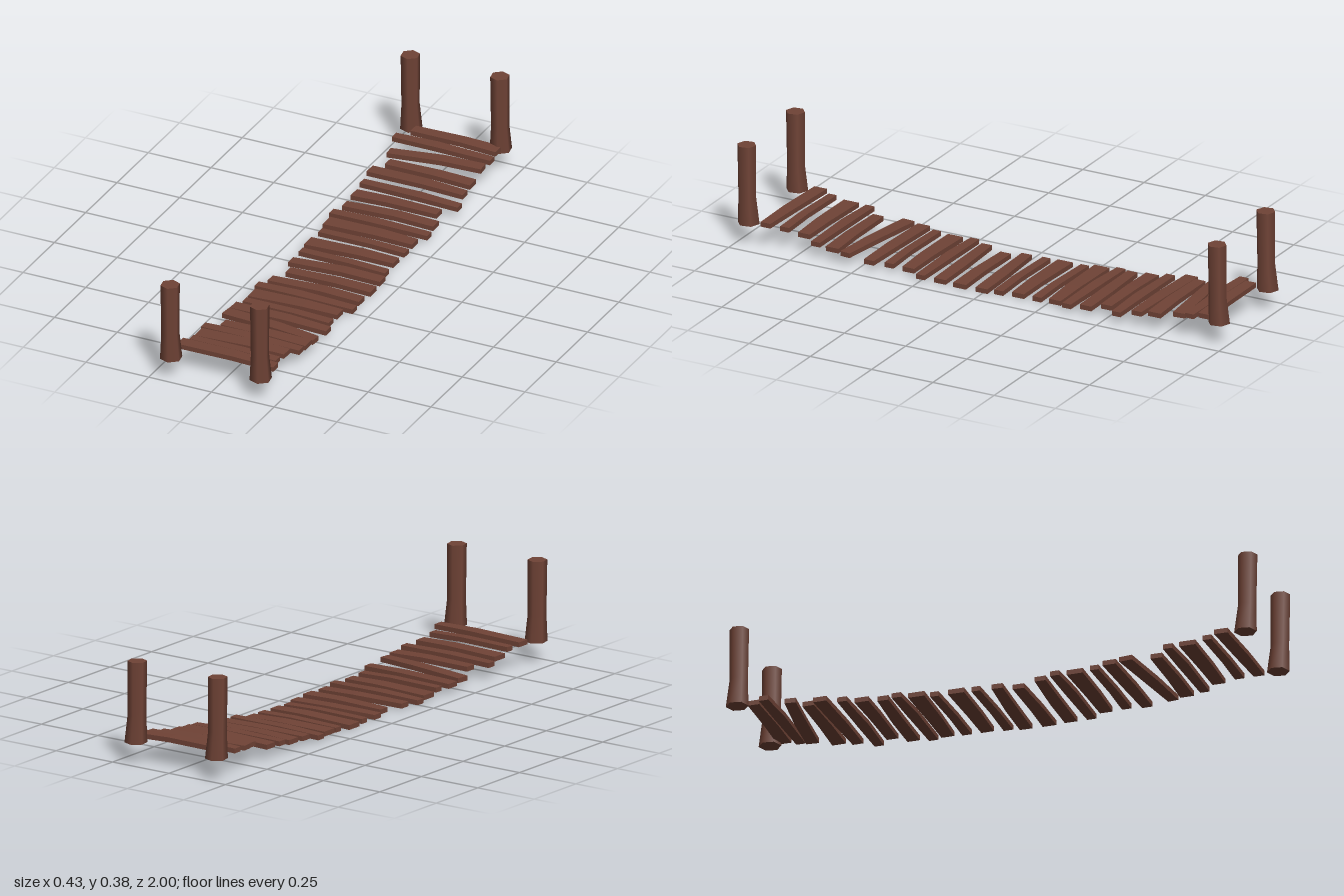
import * as THREE from 'three';

const wood = new THREE.MeshStandardMaterial({ color: 0x704336 });
wood.name = 'reddish brown wood';
const plankWood = wood.clone();
plankWood.name = 'reddish brown plank wood';
plankWood.flatShading = true;

// Plank outlines: three stations from right to left, each [x, back edge, front edge]
const OUTLINES = {
  square: [[-0.148, -0.021, 0.022], [0.05, -0.024, 0.025], [0.192, -0.026, 0.026]],
  slim: [[-0.197, -0.019, 0.016], [-0.03, -0.021, 0.022], [0.196, -0.014, 0.021]],
  wedge: [[-0.174, -0.015, 0.026], [0.03, -0.028, 0.02], [0.186, -0.026, 0.021]],
  bent: [[-0.19, -0.028, 0.022], [0.03, -0.023, 0.026], [0.196, -0.012, 0.028]],
  wide: [[-0.182, -0.03, 0.031], [0.03, -0.029, 0.026], [0.17, -0.026, 0.022]],
  narrow: [[-0.174, -0.018, 0.014], [0.03, -0.016, 0.018], [0.172, -0.016, 0.02]],
};

// Planks from back to front: [outline, z, turn about y, turned end for end]
const PLANKS = [
  ['square', -0.91, 0], ['slim', -0.853, 0], ['wedge', -0.783, 0.085], ['square', -0.704, 0],
  ['bent', -0.642, 0], ['slim', -0.561, 0, true], ['square', -0.492, 0, true],
  ['wedge', -0.418, 0], ['slim', -0.352, 0], ['wide', -0.284, 0], ['narrow', -0.216, 0],
  ['wide', -0.134, 0], ['narrow', -0.06, 0], ['wedge', 0.01, 0.02], ['square', 0.09, 0],
  ['wedge', 0.176, 0], ['slim', 0.245, 0], ['wide', 0.314, 0], ['narrow', 0.387, 0],
  ['bent', 0.45, 0], ['bent', 0.53, -0.095], ['square', 0.61, 0], ['slim', 0.672, 0],
  ['wide', 0.739, 0], ['narrow', 0.813, 0], ['bent', 0.872, 0],
];

function plankGeometry(outline) {
  const g = new THREE.BoxGeometry(2, 0.018, 2, 2, 1, 1);
  const p = g.attributes.position;
  for (let i = 0; i < p.count; i++) {
    const k = Math.round(p.getX(i)) + 1;
    const [x, back, front] = outline[k];
    const bow = k === 1 ? 0.002 : -0.002;
    p.setXYZ(i, x, p.getY(i) + bow, p.getZ(i) < 0 ? back : front);
  }
  g.computeVertexNormals();
  return g;
}

// Six-sided post: flared foot, narrow waist, slightly wider top
function postGeometry() {
  const g = new THREE.CylinderGeometry(1, 1, 0.3, 6, 3, false, THREE.MathUtils.degToRad(10));
  const p = g.attributes.position;
  const rows = [[0.08, 0.041, -0.002], [0.18, 0.0335, 0.004], [0.28, 0.0345, 0.005], [0.38, 0.0355, 0.006]];
  for (let i = 0; i < p.count; i++) {
    const [y, r, dz] = rows[Math.round((p.getY(i) + 0.15) / 0.1)];
    p.setXYZ(i, p.getX(i) * r, y, p.getZ(i) * r + dz);
  }
  return g;
}

export function createModel() {
  const bridge = new THREE.Group();
  bridge.name = 'plankBridge';

  // Walkway sagging along a shallow parabola
  const walkway = new THREE.Group();
  walkway.name = 'walkway';
  const shapes = {};
  for (const key in OUTLINES) shapes[key] = plankGeometry(OUTLINES[key]);
  PLANKS.forEach(([key, z, turn, flipped], i) => {
    const plank = new THREE.Mesh(shapes[key], plankWood);
    plank.name = `plank${i + 1}`;
    plank.position.set(flipped ? 0.015 : 0, 0.015 + 0.105 * z * z, z);
    plank.rotation.y = turn + (flipped ? Math.PI : 0);
    plank.rotation.z = ((i % 3) - 1) * 0.008;
    walkway.add(plank);
  });
  bridge.add(walkway);

  // Corner posts
  const post = postGeometry();
  for (const [end, z] of [['front', 0.961], ['back', -0.958]]) {
    for (const [side, x] of [['Left', 0.176], ['Right', -0.181]]) {
      const mesh = new THREE.Mesh(post, wood);
      mesh.name = `${end}${side}Post`;
      mesh.position.set(x, 0, z);
      bridge.add(mesh);
    }
  }
  return bridge;
}
